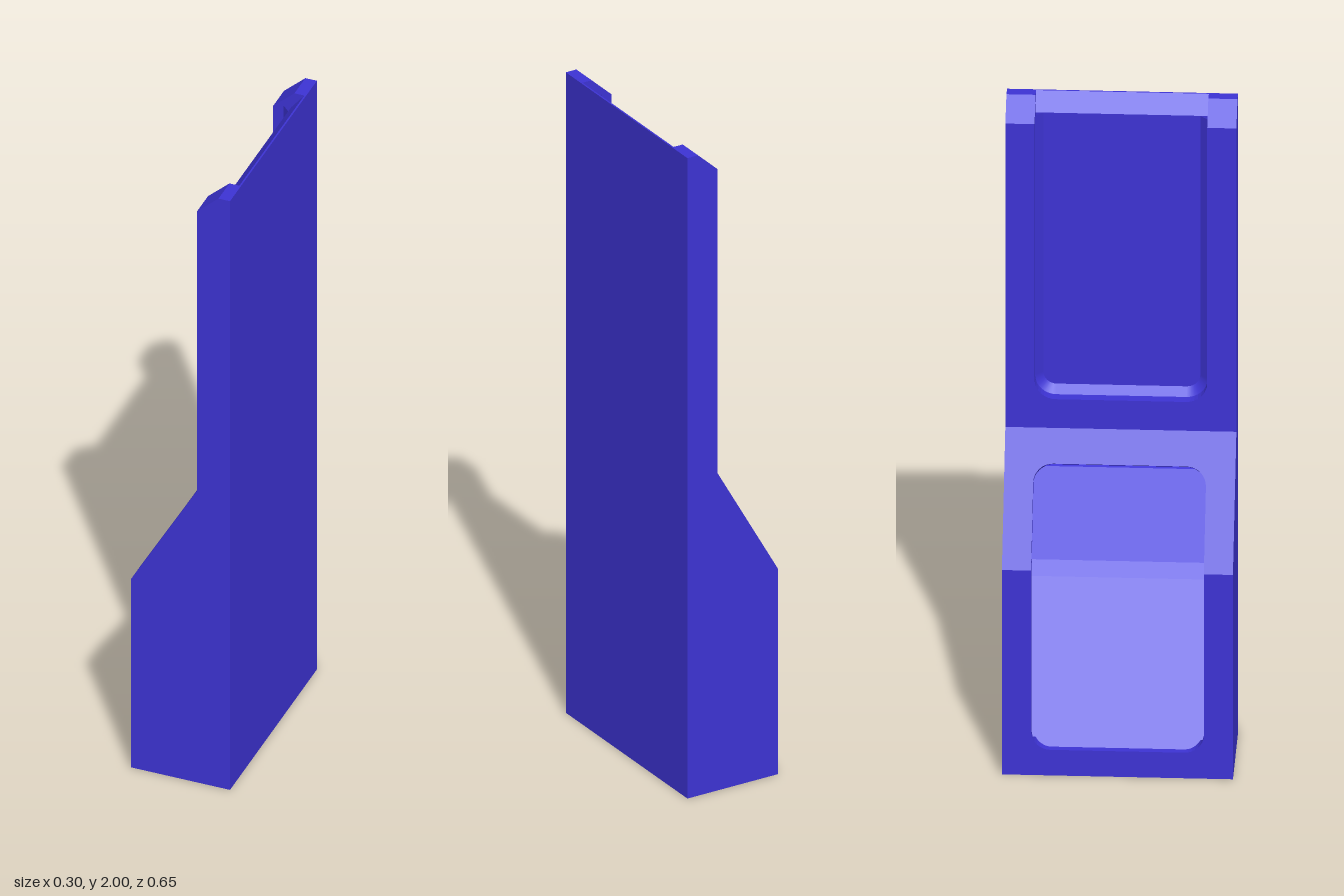
import * as THREE from 'three';

const HALF_W = 0.325;     // half of the cabinet width (z)
const OPEN = 0.243;       // half width of both recesses (z)
const SLOPE = Math.hypot(0.2, 0.35);

export function createModel() {
  const model = new THREE.Group();
  model.name = 'cabinet';
  const blue = new THREE.MeshStandardMaterial({ color: 0x3d33d4 });
  const blueThin = new THREE.MeshStandardMaterial({ color: 0x3d33d4, side: THREE.DoubleSide });

  const add = (name, geometry, material = blue) => {
    const mesh = new THREE.Mesh(geometry, material);
    mesh.name = name;
    model.add(mesh);
    return mesh;
  };
  const toShape = (pts) => new THREE.Shape(pts.map(([x, y]) => new THREE.Vector2(x, y)));
  const extrude = (pts, depth) =>
    new THREE.ExtrudeGeometry(toShape(pts), { depth, bevelEnabled: false });

  // Side rails carry the full silhouette
  const profile = [[0.15, 0], [0.15, 2], [0.115, 2], [0.05, 1.94], [0.05, 0.99], [-0.15, 0.64], [-0.15, 0]];
  const rail = extrude(profile, HALF_W - OPEN);
  add('leftRail', rail.clone().translate(0, 0, OPEN));
  add('rightRail', rail.clone().translate(0, 0, -HALF_W));

  // Core between the rails: back panel, screen floor and sawtooth louvres
  const faceX = (y) => -0.15 + Math.max(0, y - 0.64) * (0.2 / 0.35);
  const core = [[0.15, 0], [0.15, 2], [0.145, 2], [0.105, 1.95], [0.105, 0.93]];
  for (let k = 18; k >= 0; k--) {
    const y = 0.069 + k * 0.0457;
    core.push([faceX(y) + 0.013, y]);
    if (k > 0) core.push([faceX(y) + 0.045, y - 0.001]);
  }
  core.push([-0.137, 0]);
  add('louvreCore', extrude(core, 2 * OPEN + 0.02).translate(0, 0, -OPEN - 0.01));

  // Rounded U contour of a recess end, from one side to the other
  const contour = (w, h, r, top) => {
    const pts = [[w, top]];
    for (const side of [1, -1]) {
      for (let i = 0; i <= 8; i++) {
        const a = (side > 0 ? i : 8 - i) / 8 * Math.PI / 2;
        pts.push([side * (w - r + r * Math.cos(a)), h + r - r * Math.sin(a)]);
      }
    }
    pts.push([-w, top]);
    return pts;
  };

  // Cross bar closing a recess, with filleted inner corners
  const addBar = (name, h, r, depth, origin, across, along) => {
    const w = OPEN + 0.01;
    const top = h + r + 0.001;
    const pts = [[-w, 0], [w, 0], [w, top], ...contour(OPEN, h, r, top), [-w, top]];
    const u = new THREE.Vector3(0, 0, across);
    const v = new THREE.Vector3(...along).normalize();
    const frame = new THREE.Matrix4().makeBasis(u, v, u.clone().cross(v)).setPosition(...origin);
    add(name, extrude(pts, depth).applyMatrix4(frame));
  };
  addBar('louvreBottomFrame', 0.08, 0.055, 0.06, [-0.15, 0, 0], -1, [0, 1, 0]);
  addBar('louvreTopFrame', SLOPE * 0.25, 0.055, 0.06, [0.05, 0.99, 0], 1, [-0.2, -0.35, 0]);
  addBar('screenBottomFrame', 0.09, 0.06, 0.056, [0.05, 0.99, 0], -1, [0, 1, 0]);

  // Chamfer running round the foot of the screen recess
  const outer = contour(OPEN, 1.08, 0.06, 1.95);
  const inner = contour(OPEN - 0.022, 1.102, 0.038, 1.95);
  const positions = [];
  const index = [];
  outer.forEach(([z, y], i) => {
    positions.push(0.082, y, z, 0.105, inner[i][1], inner[i][0]);
    if (i > 0) {
      const a = 2 * i - 2;
      index.push(a, a + 1, a + 2, a + 1, a + 3, a + 2);
    }
  });
  const chamfer = new THREE.BufferGeometry();
  chamfer.setAttribute('position', new THREE.Float32BufferAttribute(positions, 3));
  chamfer.setIndex(index);
  chamfer.computeVertexNormals();
  // Keep the lit side facing the recess opening
  if (chamfer.attributes.normal.getX(0) > 0) {
    chamfer.setIndex(index.reverse());
    chamfer.computeVertexNormals();
  }
  add('screenChamfer', chamfer, blueThin);

  return model;
}
